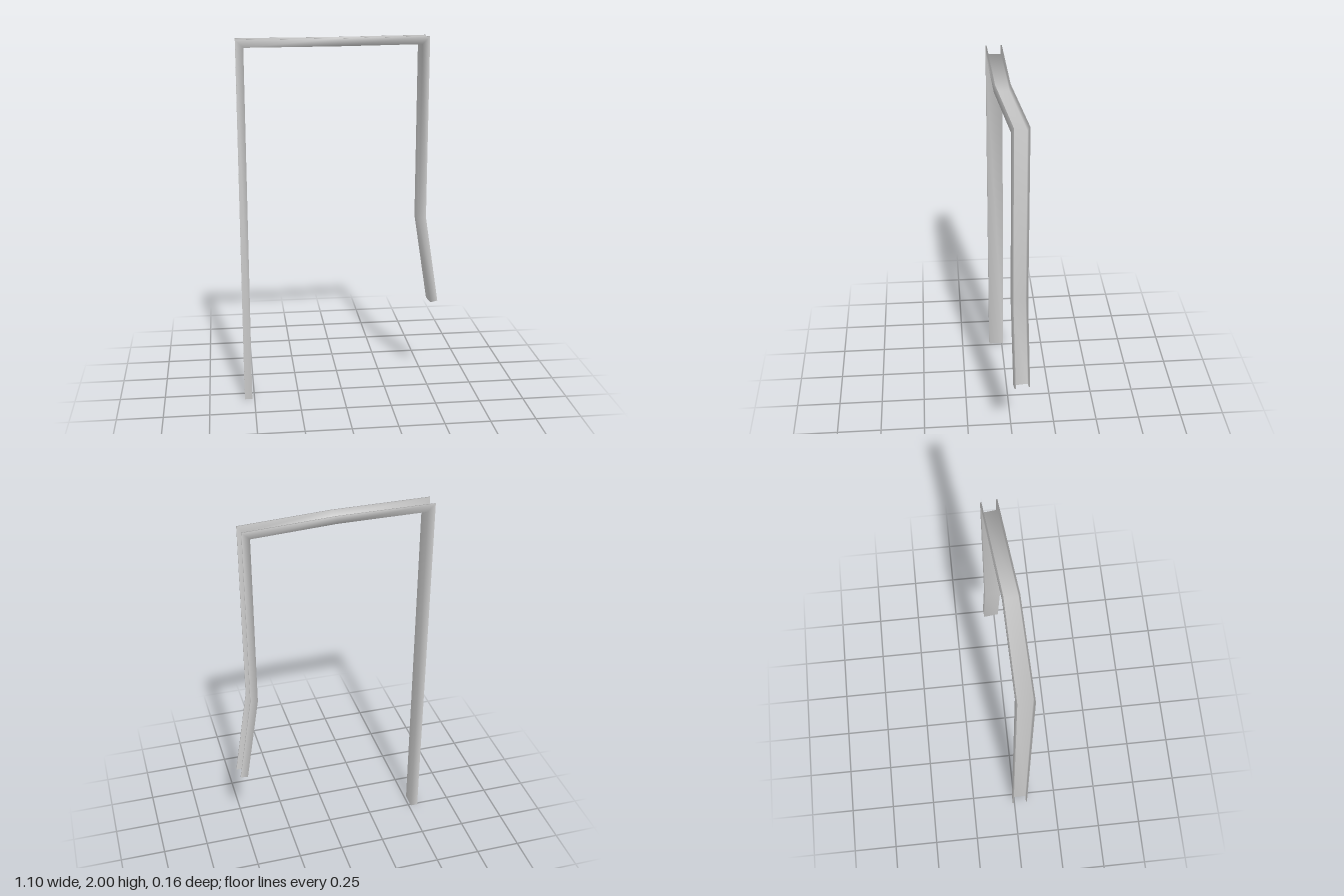
import * as THREE from 'three';

// Stations along the bent U-channel: open edge (x, y, z), half width, yaw in degrees,
// and the step from the open edge to the web (along the yawed x axis, and along y).
const STATIONS = [
  { x: -0.554, y: 0, z: 0.034, half: 0.0445, yaw: 0, step: [0.041, 0] },          // foot of long post
  { x: -0.554, y: 2, z: 0.034, half: 0.0445, yaw: 0, step: [0.041, -0.04] },      // mitred corner
  { x: -0.03, y: 2, z: 0.024, half: 0.0425, yaw: 3.5, step: [0, -0.04] },         // bend in the lintel
  { x: 0.465, y: 2, z: -0.03, half: 0.042, yaw: 6.2, step: [-0.041, -0.04] },     // mitred corner
  { x: 0.465, y: 1.01, z: -0.03, half: 0.042, yaw: 6.2, step: [-0.041, -0.006] }, // bend in short post
  { x: 0.5435, y: 0.515, z: -0.0385, half: 0.042, yaw: 6.2, step: [-0.041, -0.007] }, // end of short post
];
const FLANGE = 0.0065; // flange thickness
const WEB = 0.89;      // depth fraction where the web begins

// Closed outline of the U section at one station
function section({ x, y, z, half, yaw, step }) {
  const a = THREE.MathUtils.degToRad(yaw), c = Math.cos(a), s = Math.sin(a);
  const inner = half - FLANGE;
  return [
    [-half, 0], [-half, 1], [half, 1], [half, 0],
    [inner, 0], [inner, WEB], [-inner, WEB], [-inner, 0],
  ].map(([w, t]) => [
    x + w * s + t * step[0] * c,
    y + t * step[1],
    z + w * c - t * step[0] * s,
  ]);
}

function makeGeometry(points, index) {
  const g = new THREE.BufferGeometry();
  g.setAttribute('position', new THREE.Float32BufferAttribute(points.flat(), 3));
  g.setIndex(index);
  g.computeVertexNormals();
  return g;
}

export function createModel() {
  const group = new THREE.Group();
  group.name = 'doorFrame';
  const material = new THREE.MeshStandardMaterial({ color: 0xcccccc });
  const rings = STATIONS.map(section);
  const n = rings[0].length;

  const add = (name, geometry) => {
    const mesh = new THREE.Mesh(geometry, material);
    mesh.name = name;
    group.add(mesh);
  };

  // Channel walls, smooth across the section
  const walls = [];
  for (let i = 0; i < rings.length - 1; i++) {
    for (let k = 0; k < n; k++) {
      const a = i * n + k, b = i * n + (k + 1) % n;
      walls.push(a, b + n, b, a, a + n, b + n);
    }
  }
  add('channelFrame', makeGeometry(rings.flat(), walls));

  // Cut ends of the channel
  const cap = [];
  for (const [a, b, c, d] of [[0, 1, 6, 7], [1, 2, 5, 6], [2, 3, 4, 5]]) {
    cap.push(a, b, c, a, c, d);
  }
  add('longPostEnd', makeGeometry(rings[0], cap));
  add('shortPostEnd', makeGeometry(rings[rings.length - 1], [...cap].reverse()));

  return group;
}
